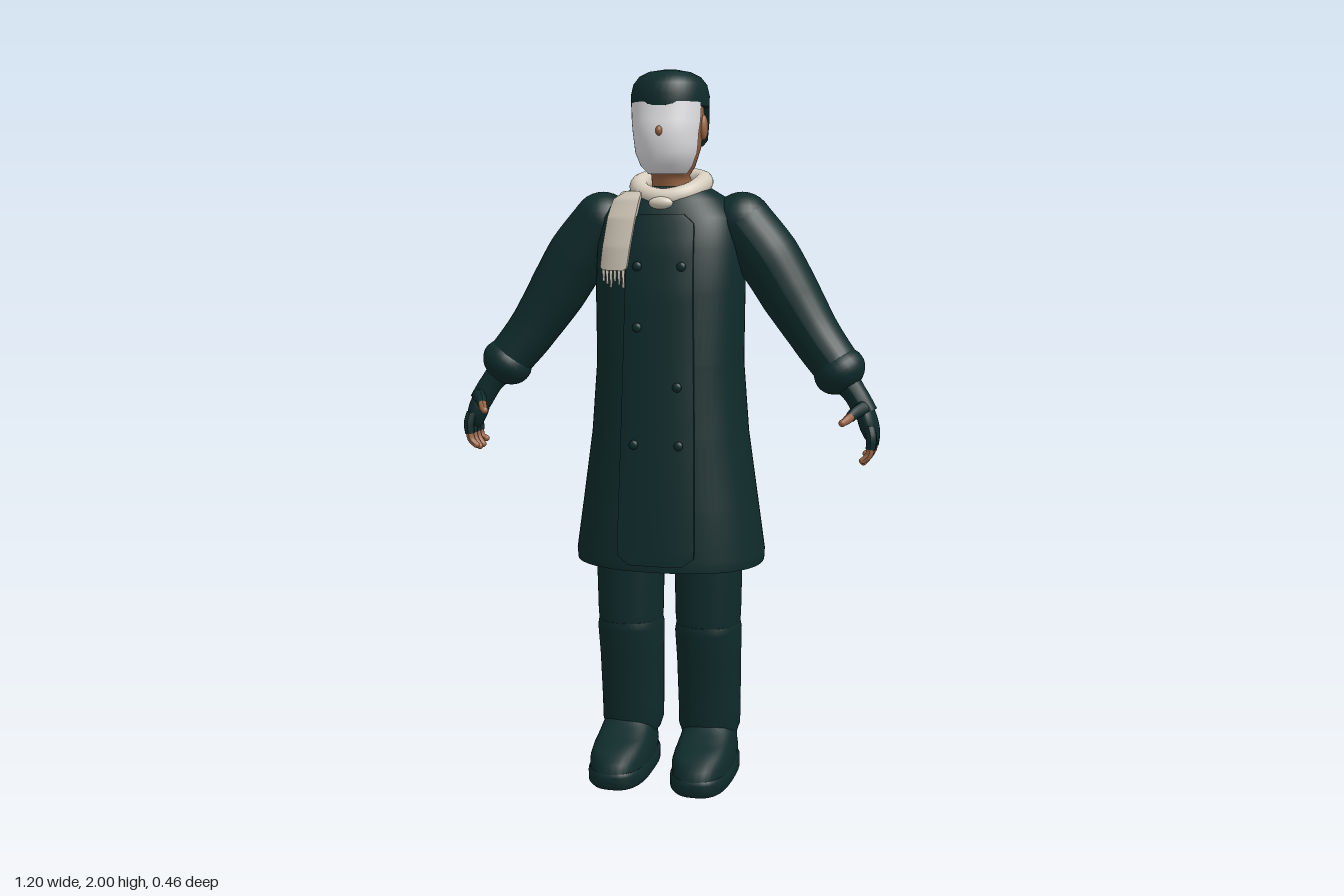
import * as THREE from 'three';

const mat = (name, color, side = THREE.FrontSide) => {
  const m = new THREE.MeshStandardMaterial({ color, side });
  m.name = name;
  return m;
};

// Horizontal rings [y, centreX, halfWidth, zFront, zBack] skinned from bottom to top.
// With an arc [from, to] (radians, PI/2 = front) it makes an open shell.
function loft(rings, n = 2, arc = null, segs = 40) {
  const tiny = ([y, cx, , f, b]) => [y, cx, 0.0005, (f + b) / 2 + 0.0005, (f + b) / 2 - 0.0005];
  const first = rings[0], last = rings[rings.length - 1];
  const all = arc ? rings : [tiny(first), first, ...rings, last, tiny(last)];
  const [from, to] = arc || [0, Math.PI * 2];
  const cols = arc ? segs + 1 : segs;
  const pos = [], idx = [];
  const pw = (v) => Math.sign(v) * Math.abs(v) ** (2 / n);
  for (const [y, cx, rx, f, b] of all)
    for (let j = 0; j < cols; j++) {
      const t = from + ((to - from) * j) / segs;
      pos.push(cx + rx * pw(Math.cos(t)), y, (f + b) / 2 + ((f - b) / 2) * pw(Math.sin(t)));
    }
  for (let i = 0; i < all.length - 1; i++)
    for (let j = 0; j < segs; j++) {
      const a = i * cols + j, b = i * cols + ((j + 1) % cols), c = a + cols, d = b + cols;
      idx.push(a, c, b, b, c, d);
    }
  const g = new THREE.BufferGeometry();
  g.setAttribute('position', new THREE.Float32BufferAttribute(pos, 3));
  g.setIndex(idx);
  g.computeVertexNormals();
  return g;
}

// Tube along points whose radius follows a list of radii
function taperTube(points, radii, segs = 20, sides = 16) {
  const curve = new THREE.CatmullRomCurve3(points.map((p) => new THREE.Vector3(...p)));
  const g = new THREE.TubeGeometry(curve, segs, 1, sides);
  const p = g.attributes.position, v = new THREE.Vector3();
  for (let i = 0; i <= segs; i++) {
    const c = curve.getPointAt(i / segs), u = (i / segs) * (radii.length - 1);
    const k = Math.min(Math.floor(u), radii.length - 2);
    const r = THREE.MathUtils.lerp(radii[k], radii[k + 1], u - k);
    for (let j = 0; j <= sides; j++) {
      const q = i * (sides + 1) + j;
      v.fromBufferAttribute(p, q).sub(c).multiplyScalar(r).add(c);
      p.setXYZ(q, v.x, v.y, v.z);
    }
  }
  g.computeVertexNormals();
  return g;
}

const COAT_N = 2.3;
const coatRings = [
  [0.63, 0, 0.268, 0.185, -0.23], [0.66, 0, 0.27, 0.188, -0.229], [0.8, 0, 0.25, 0.18, -0.22],
  [1.0, 0, 0.222, 0.168, -0.203], [1.2, 0, 0.207, 0.157, -0.188], [1.4, 0, 0.21, 0.146, -0.174],
  [1.52, 0, 0.208, 0.13, -0.167], [1.6, 0, 0.195, 0.11, -0.157], [1.65, 0, 0.16, 0.09, -0.145],
  [1.685, 0, 0.1, 0.06, -0.125],
];

// Depth of the coat surface at x, y; side 1 = front, -1 = back
function coatZ(x, y, side) {
  let i = 0;
  while (i < coatRings.length - 2 && coatRings[i + 1][0] < y) i++;
  const a = coatRings[i], b = coatRings[i + 1];
  const t = THREE.MathUtils.clamp((y - a[0]) / (b[0] - a[0]), 0, 1);
  const [, , rx, f, k] = a.map((v, q) => v + (b[q] - v) * t);
  const e = Math.max(0, 1 - Math.min(1, Math.abs(x) / rx) ** COAT_N) ** (1 / COAT_N);
  return (f + k) / 2 + ((side * (f - k)) / 2) * e;
}

// Rounded cloth plate that follows the coat; lean shifts its lower end in x
function drape(w, h, cx, cy, depth, side, { round = 0.02, lean = 0, taper = 0 } = {}) {
  const g = new THREE.BoxGeometry(w, h, depth, 12, 40, 1);
  const p = g.attributes.position;
  for (let i = 0; i < p.count; i++) {
    const ly = p.getY(i), d = Math.max(0, Math.abs(ly) - (h / 2 - round));
    const cut = round - Math.sqrt(Math.max(0, round * round - d * d));
    const up = ly / h + 0.5;
    const x = cx + p.getX(i) * (1 - cut / (w / 2)) * (1 - taper * up) + lean * (1 - up);
    p.setXYZ(i, x, cy + ly, coatZ(x, cy + ly, side) + p.getZ(i));
  }
  g.computeVertexNormals();
  return g;
}

export function createModel() {
  const root = new THREE.Group();
  root.name = 'coatedFigure';
  const cloth = mat('darkGreenCloth', 0x0f2b2b, THREE.DoubleSide);
  const skin = mat('skin', 0x9a6545);
  const white = mat('maskWhite', 0xe8e8ec, THREE.DoubleSide);
  const wool = mat('creamWool', 0xd6cdbd);
  const add = (name, geo, material, at = [0, 0, 0], scale = [1, 1, 1]) => {
    const m = new THREE.Mesh(geo, material);
    m.name = name;
    m.position.set(...at);
    m.scale.set(...scale);
    root.add(m);
    return m;
  };
  const ball = (r) => new THREE.SphereGeometry(r, 24, 16);

  // Head, neck, ears, nose
  add('head', loft([
    [1.62, 0, 0.056, 0.035, -0.09], [1.7, 0, 0.056, 0.03, -0.088], [1.715, 0, 0.052, 0.06, -0.088],
    [1.74, 0, 0.07, 0.088, -0.095], [1.79, 0, 0.086, 0.1, -0.108], [1.88, 0, 0.094, 0.102, -0.12],
    [1.95, 0, 0.085, 0.09, -0.11],
  ]), skin);
  for (const s of [1, -1]) add('ear', ball(0.03), skin, [s * 0.094, 1.845, -0.012], [0.4, 1.15, 0.6]);
  add('nose', ball(0.012), skin, [0, 1.832, 0.117], [0.8, 1.1, 1]);

  // Mask over the face
  add('mask', loft([
    [1.718, 0, 0.055, 0.07, -0.06], [1.74, 0, 0.074, 0.098, -0.07], [1.775, 0, 0.088, 0.112, -0.08],
    [1.8, 0, 0.091, 0.114, -0.08], [1.83, 0, 0.094, 0.12, -0.08], [1.86, 0, 0.098, 0.114, -0.08],
    [1.91, 0, 0.1, 0.108, -0.08],
  ], 2.2, [Math.PI * 0.06, Math.PI * 0.94]), white);

  // Cap with nape flap and hair bun
  add('cap', loft([
    [1.9, 0, 0.106, 0.11, -0.132], [1.93, 0, 0.107, 0.112, -0.136], [1.96, 0, 0.1, 0.103, -0.127],
    [1.98, 0, 0.084, 0.086, -0.106], [1.993, 0, 0.058, 0.058, -0.078], [2.0, 0, 0.02, 0.01, -0.03],
  ], 2.1), cloth);
  add('napeFlap', loft([
    [1.795, 0, 0.09, 0.095, -0.115], [1.81, 0, 0.102, 0.1, -0.125], [1.86, 0, 0.106, 0.105, -0.132],
    [1.91, 0, 0.106, 0.11, -0.133],
  ], 2.1, [Math.PI * 1.08, Math.PI * 1.92]), cloth);
  add('bun', ball(0.045), cloth, [0, 1.92, -0.172]);

  // Coat, button panel, buttons, back pocket
  add('coat', loft(coatRings, COAT_N, null, 64), cloth);
  add('frontPanel', drape(0.22, 0.96, 0.005, 1.13, 0.02, 1, { round: 0.035, taper: 0.18 }), cloth);
  for (const [x, y] of [[-0.055, 1.47], [0.068, 1.47], [-0.052, 1.305], [0.062, 1.145], [-0.058, 0.985], [0.068, 0.985]])
    add('button', ball(0.013), cloth, [x, y, coatZ(x, y, 1) + 0.012], [1, 1, 0.6]);
  add('backPocket', drape(0.1, 0.105, -0.09, 1.335, 0.022, -1), cloth);

  // Scarf ring, hanging end, fringe and front knot
  const ring = new THREE.CatmullRomCurve3([
    [0, 1.712, -0.105], [0.075, 1.703, -0.075], [0.088, 1.688, -0.01], [0.06, 1.665, 0.05],
    [0, 1.652, 0.072], [-0.06, 1.665, 0.05], [-0.088, 1.688, -0.01], [-0.075, 1.703, -0.075],
  ].map((p) => new THREE.Vector3(...p)), true);
  add('scarfRing', new THREE.TubeGeometry(ring, 64, 0.027, 16, true), wool);
  add('scarfEnd', drape(0.088, 0.215, -0.1, 1.565, 0.042, 1, { lean: -0.028, round: 0.012 }), wool);
  for (let i = 0; i < 6; i++) {
    const x = -0.16 + i * 0.013, h = 0.038 + (i % 3) * 0.008;
    add('fringe', new THREE.CylinderGeometry(0.005, 0.003, h, 6), wool, [x, 1.465 - h / 2, coatZ(x, 1.45, 1) + 0.012]);
  }
  add('scarfKnot', ball(0.034), wool, [0, 1.64, 0.098], [1, 0.5, 0.5]);

  for (const s of [1, -1]) {
    const at = (pts) => pts.map(([x, y, z]) => [s * x, y, z]);

    // Sleeve with rounded shoulder and puffed cuff
    const sleeve = [[0.2, 1.585, -0.03], [0.275, 1.49, -0.03], [0.35, 1.37, -0.028], [0.42, 1.265, -0.015], [0.475, 1.195, 0]];
    add('sleeve', taperTube(at(sleeve), [0.085, 0.088, 0.083, 0.072, 0.066], 24, 24), cloth);
    add('shoulder', ball(0.085), cloth, [s * 0.2, 1.585, -0.03]);
    const cuff = add('cuff', ball(0.074), cloth, [s * 0.482, 1.184, 0.003], [1, 0.82, 0.98]);
    cuff.rotation.z = s * 0.62;

    // Glove, thumb and fingers
    add('gloveWrist', taperTube(at([[0.49, 1.17, 0.005], [0.53, 1.12, 0.015], [0.56, 1.07, 0.02]]), [0.04, 0.033, 0.033], 10), cloth);
    const palm = add('glovePalm', ball(0.06), cloth, [s * 0.565, 1.05, 0.022], [0.45, 1.15, 0.8]);
    palm.rotation.z = s * 0.3;
    add('thumbGlove', taperTube(at([[0.555, 1.09, 0.05], [0.535, 1.08, 0.08], [0.525, 1.07, 0.1]]), [0.02, 0.017, 0.014], 8, 10), cloth);
    add('thumb', taperTube(at([[0.527, 1.072, 0.095], [0.515, 1.062, 0.118], [0.508, 1.058, 0.128]]), [0.012, 0.012, 0.009], 8, 10), skin);
    add('thumbTip', ball(0.01), skin, [s * 0.508, 1.058, 0.127]);
    for (let i = 0; i < 4; i++) {
      const z = 0.066 - i * 0.027, drop = [0.008, 0, 0.002, 0.015][i];
      add('fingerGlove', taperTube(at([[0.573, 1.04, z * 0.85 + 0.003], [0.58, 1.01, z], [0.578, 0.98, z]]), [0.015, 0.015, 0.0135], 8, 10), cloth);
      add('finger', taperTube(at([[0.579, 0.988, z], [0.573, 0.962, z], [0.557, 0.94 + drop, z + 0.003]]), [0.0115, 0.011, 0.009], 8, 10), skin);
      add('fingertip', ball(0.0092), skin, [s * 0.557, 0.94 + drop, z + 0.003]);
    }

    // Trouser leg, shin gaiter, shoe and sole
    const c = s * 0.115;
    add('thigh', loft([[0.43, c, 0.088, 0.09, -0.1], [0.47, c, 0.092, 0.098, -0.106], [0.7, c, 0.097, 0.103, -0.106]], 2.3), cloth);
    add('shin', loft([
      [0.11, c, 0.078, 0.05, -0.105], [0.14, c, 0.088, 0.06, -0.113], [0.2, c, 0.089, 0.063, -0.115],
      [0.34, c, 0.091, 0.082, -0.113], [0.43, c, 0.094, 0.1, -0.11], [0.452, c, 0.09, 0.096, -0.105],
    ], 2.3), cloth);
    const f = s * 0.12;
    add('sole', loft([[0, f, 0.08, 0.215, -0.118], [0.012, f, 0.088, 0.228, -0.127], [0.04, f, 0.088, 0.23, -0.127], [0.05, f, 0.083, 0.224, -0.122]], 2.7), cloth);
    add('shoe', loft([
      [0.04, f, 0.084, 0.226, -0.122], [0.075, f, 0.085, 0.222, -0.12], [0.098, f, 0.08, 0.198, -0.117],
      [0.115, f, 0.077, 0.14, -0.113], [0.135, f, 0.074, 0.085, -0.108], [0.155, f, 0.065, 0.055, -0.1],
    ], 2.5), cloth);
  }
  return root;
}
